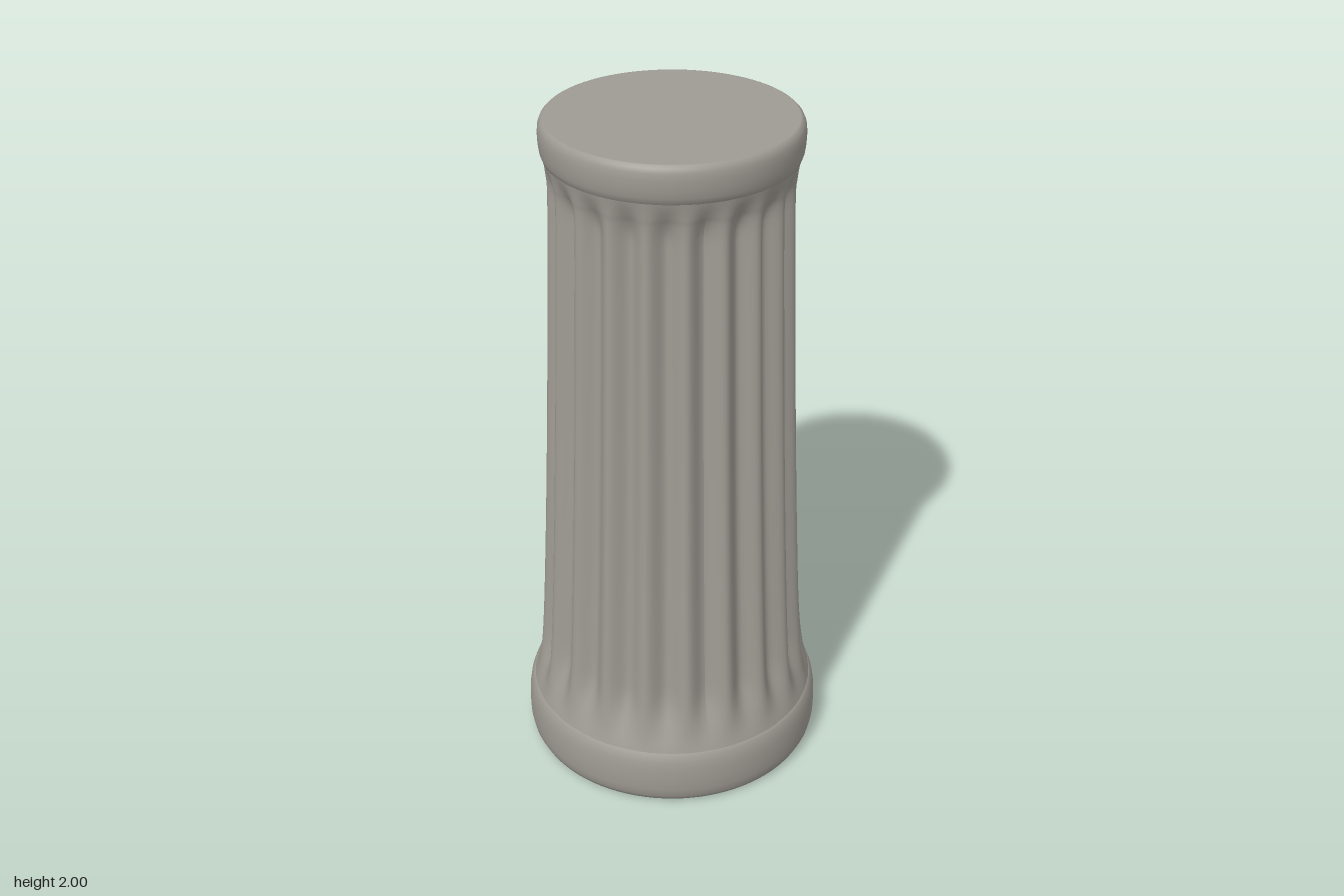
import * as THREE from 'three';

const FLUTES = 20;
const stone = new THREE.MeshStandardMaterial({ color: 0x9e9a93 });
stone.name = 'warm grey stone';

function turned(name, profile, segments) {
  const points = profile.map(([r, y]) => new THREE.Vector2(r, y));
  const mesh = new THREE.Mesh(new THREE.LatheGeometry(points, segments), stone);
  mesh.name = name;
  return mesh;
}

// Tapered shaft, flared at both ends, with grooves pressed in that fade out at the collars
function flutedShaft() {
  const outline = new THREE.SplineCurve([
    [0.432, 0.16], [0.412, 0.24], [0.396, 0.38], [0.378, 0.7],
    [0.36, 1.1], [0.345, 1.5], [0.336, 1.78], [0.339, 1.85], [0.347, 1.91],
  ].map(([r, y]) => new THREE.Vector2(r, y)));
  const mesh = turned('flutedShaft', outline.getPoints(64).map((p) => [p.x, p.y]), FLUTES * 12);
  const pos = mesh.geometry.attributes.position;
  for (let i = 0; i < pos.count; i++) {
    const x = pos.getX(i), y = pos.getY(i), z = pos.getZ(i);
    const r = Math.hypot(x, z);
    const fade = THREE.MathUtils.smoothstep(y, 0.17, 0.36) * (1 - THREE.MathUtils.smoothstep(y, 1.77, 1.9));
    const groove = 0.5 + 0.5 * Math.cos(FLUTES * Math.atan2(x, z));
    const k = 1 - (0.034 * fade * groove) / r;
    pos.setXYZ(i, x * k, y, z * k);
  }
  mesh.geometry.computeVertexNormals();
  return mesh;
}

export function createModel() {
  const model = new THREE.Group();
  model.name = 'flutedColumn';

  // Rounded plinth with a flat underside
  model.add(turned('base', [
    [0, 0], [0.415, 0], [0.42, 0.001], [0.432, 0.008], [0.44, 0.024], [0.445, 0.05],
    [0.446, 0.09], [0.444, 0.125], [0.44, 0.15], [0.433, 0.17], [0.425, 0.18], [0.4, 0.185],
  ], 96));

  model.add(flutedShaft());

  // Rounded collar with a flat top
  model.add(turned('capital', [
    [0.32, 1.885], [0.338, 1.887], [0.347, 1.895], [0.353, 1.912], [0.356, 1.935], [0.357, 1.96],
    [0.355, 1.98], [0.35, 1.992], [0.343, 1.999], [0.339, 2], [0, 2],
  ], 96));

  return model;
}
